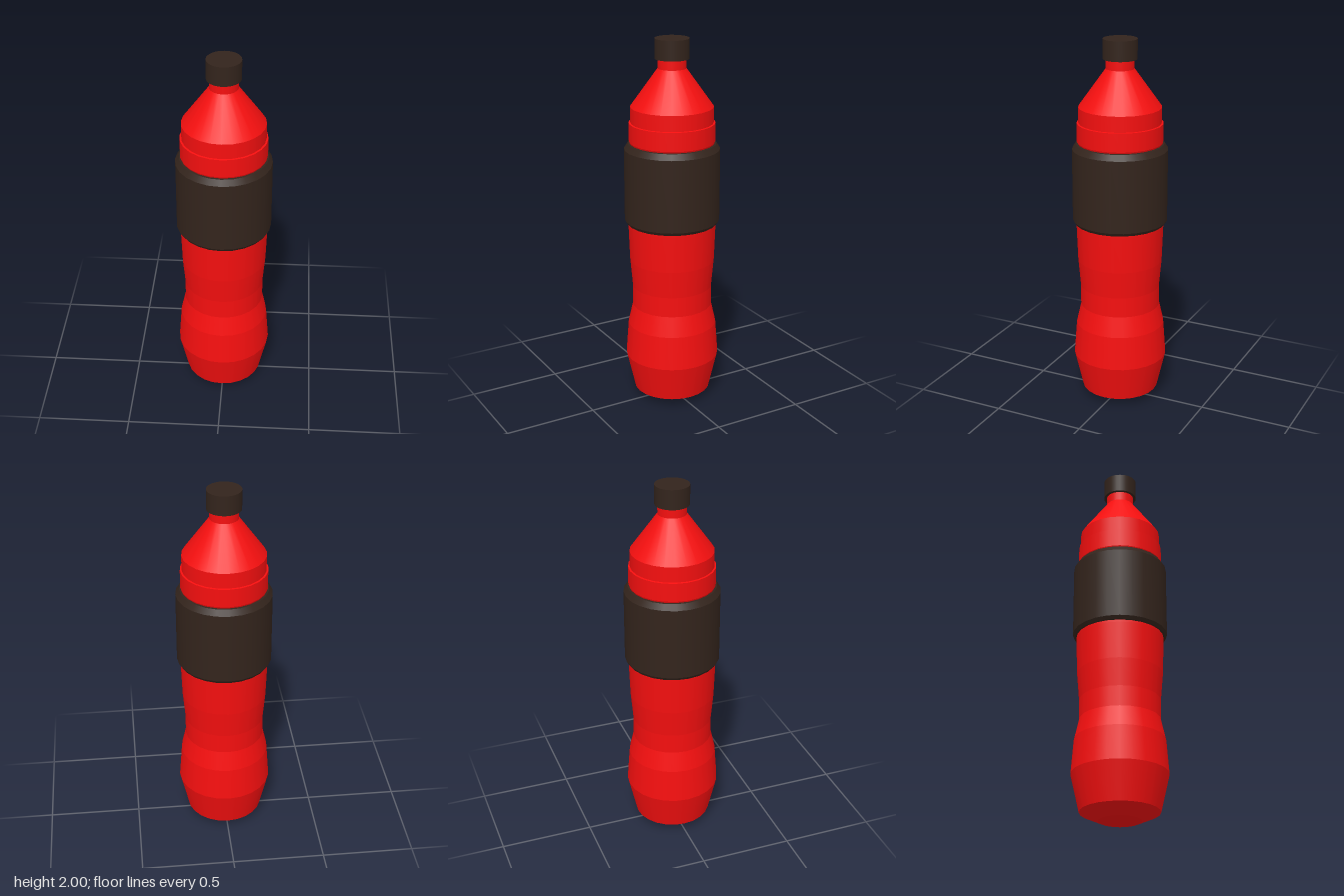
import * as THREE from 'three';
import { mergeGeometries } from 'three/addons/utils/BufferGeometryUtils.js';

const red = new THREE.MeshStandardMaterial({ color: 0xf50f0f });
const brown = new THREE.MeshStandardMaterial({ color: 0x33241c });

// Turns a [radius, height] profile, smooth around but creased at every ring
function turned(name, profile, material, segments = 24) {
  const bands = [];
  for (let i = 0; i < profile.length - 1; i++) {
    const pair = [profile[i], profile[i + 1]].map(([r, y]) => new THREE.Vector2(r, y));
    bands.push(new THREE.LatheGeometry(pair, segments));
  }
  const mesh = new THREE.Mesh(mergeGeometries(bands), material);
  mesh.name = name;
  return mesh;
}

export function createModel() {
  const bottle = new THREE.Group();
  bottle.name = 'bottle';

  // Body with a tapered foot and a pinched grip
  bottle.add(turned('body', [
    [0, 0], [0.11, 0], [0.208, 0.045], [0.254, 0.245], [0.24, 0.43],
    [0.215, 0.54], [0.215, 0.65], [0.228, 0.8], [0.235, 1.0], [0.235, 1.03],
  ], red));

  // Wrapped label band with bevelled rims
  bottle.add(turned('labelBand', [
    [0.22, 1.01], [0.243, 1.013], [0.254, 1.03], [0.254, 1.42], [0.234, 1.45], [0.21, 1.455],
  ], brown));

  // Stepped shoulder, cone and neck
  bottle.add(turned('shoulder', [
    [0.22, 1.44], [0.228, 1.46], [0.228, 1.56], [0.219, 1.562], [0.219, 1.645],
    [0.075, 1.845], [0.075, 1.91],
  ], red));

  // Screw cap
  bottle.add(turned('cap', [
    [0, 1.895], [0.09, 1.895], [0.09, 2], [0, 2],
  ], brown, 32));

  return bottle;
}
